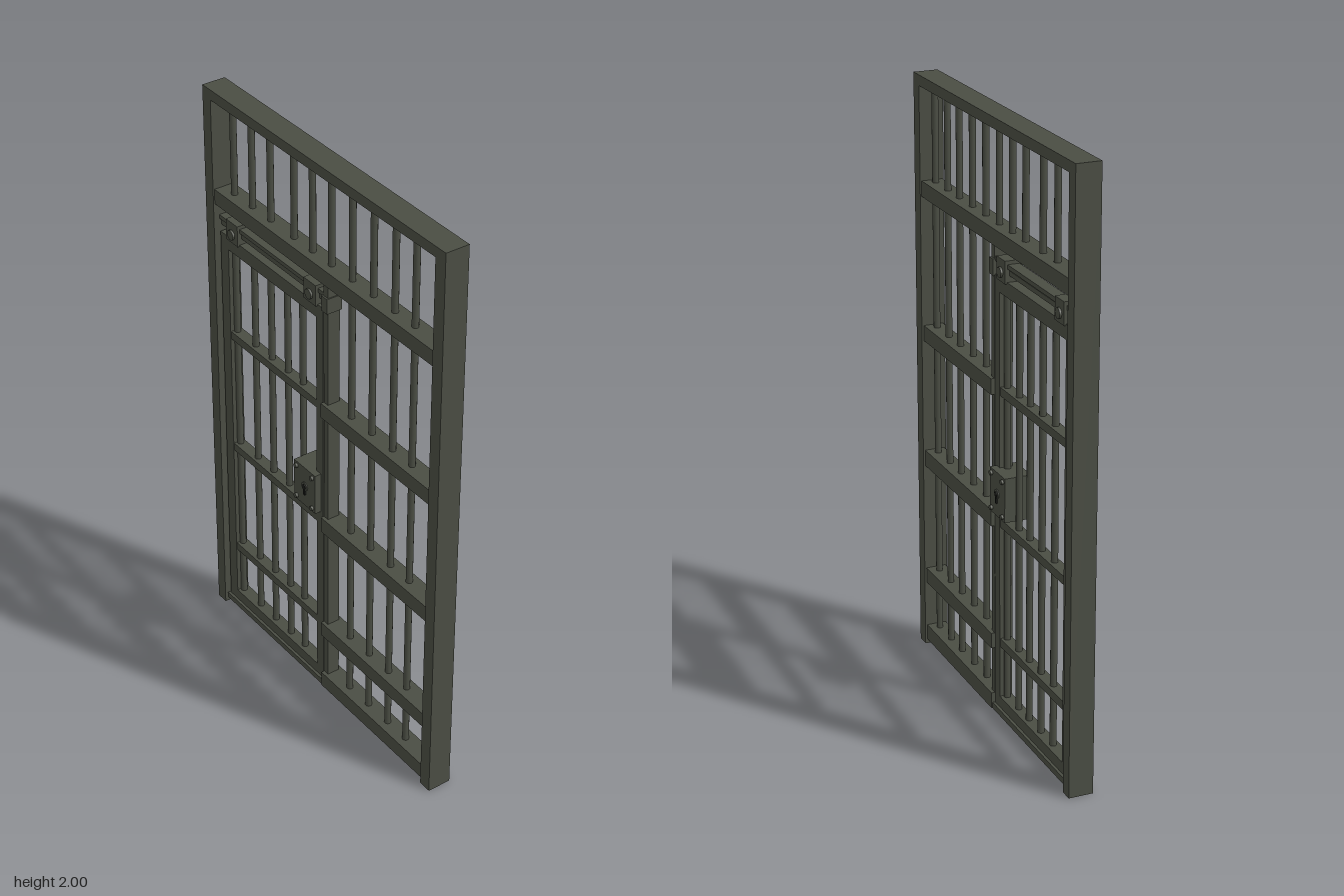
import * as THREE from 'three';

const iron = new THREE.MeshStandardMaterial({ color: 0x4a4d43 });
iron.name = 'dark iron';
const black = new THREE.MeshStandardMaterial({ color: 0x1b1c19 });
black.name = 'keyhole black';

// Box given by its x, y and z limits
function block(parent, name, x0, x1, y0, y1, z0, z1, mat = iron) {
  const mesh = new THREE.Mesh(new THREE.BoxGeometry(x1 - x0, y1 - y0, z1 - z0), mat);
  mesh.position.set((x0 + x1) / 2, (y0 + y1) / 2, (z0 + z1) / 2);
  mesh.name = name;
  parent.add(mesh);
  return mesh;
}

// Round upright bar
function bar(parent, name, x, y0, y1, r = 0.011) {
  const mesh = new THREE.Mesh(new THREE.CylinderGeometry(r, r, y1 - y0, 12), iron);
  mesh.position.set(x, (y0 + y1) / 2, 0);
  mesh.name = name;
  parent.add(mesh);
}

// Round part lying along z
function stud(parent, name, x, y, z0, z1, r, mat = iron) {
  const mesh = new THREE.Mesh(new THREE.CylinderGeometry(r, r, z1 - z0, 12), mat);
  mesh.rotation.x = Math.PI / 2;
  mesh.position.set(x, y, (z0 + z1) / 2);
  mesh.name = name;
  parent.add(mesh);
}

function group(parent, name) {
  const g = new THREE.Group();
  g.name = name;
  parent.add(g);
  return g;
}

export function createModel() {
  const model = new THREE.Group();
  model.name = 'barredGate';

  // Outer frame
  const frame = group(model, 'frame');
  block(frame, 'rightPost', -0.608, -0.565, 0, 2, -0.041, 0.041);
  block(frame, 'leftPost', 0.562, 0.608, 0, 2, -0.041, 0.041);
  block(frame, 'topBeam', -0.565, 0.562, 1.965, 2, -0.041, 0.041);
  block(frame, 'transom', -0.565, 0.562, 1.6, 1.652, -0.036, 0.036);

  // Bars above the transom
  const upper = group(model, 'upperBars');
  for (const x of [-0.505, -0.405, -0.305, -0.18, -0.083, 0.015, 0.12, 0.225, 0.33, 0.427, 0.53])
    bar(upper, 'upperBar', x, 1.65, 1.967);

  // Fixed panel beside the door
  const panel = group(model, 'fixedPanel');
  for (const [y0, y1] of [[0.015, 0.07], [0.232, 0.285], [0.662, 0.718], [1.107, 1.16]])
    block(panel, 'panelRail', 0.004, 0.562, y0, y1, -0.034, 0.034);
  block(panel, 'innerPost', 0.004, 0.026, 0.015, 1.6, -0.022, 0.022);
  for (const x of [0.12, 0.225, 0.33, 0.427, 0.53]) bar(panel, 'panelBar', x, 0.03, 1.61);

  // Sliding door
  const door = group(model, 'door');
  block(door, 'rightStile', -0.558, -0.515, 0.037, 1.5, -0.022, 0.022);
  block(door, 'leftStile', -0.036, 0, 0.037, 1.5, -0.022, 0.022);
  block(door, 'doorTopRail', -0.515, -0.036, 1.452, 1.5, -0.022, 0.022);
  block(door, 'doorBottomRail', -0.515, -0.036, 0.037, 0.075, -0.022, 0.022);
  for (const y of [0.268, 0.687, 1.13])
    block(door, 'doorCrossRail', -0.515, -0.036, y - 0.014, y + 0.014, -0.02, 0.02);
  for (const x of [-0.507, -0.402, -0.31, -0.22, -0.138, -0.046]) bar(door, 'doorBar', x, 0.06, 1.46);

  // Overhead track, hangers and floor guide
  const track = group(model, 'track');
  block(track, 'upperRunner', -0.565, 0.02, 1.542, 1.556, -0.02, 0.02);
  block(track, 'lowerRunner', -0.565, 0.02, 1.52, 1.536, -0.014, 0.014);
  block(track, 'trackStop', 0, 0.03, 1.495, 1.548, -0.028, 0.028);
  block(track, 'floorGuide', -0.565, 0.004, 0.014, 0.035, -0.03, 0.03);
  for (const x of [-0.483, -0.06]) {
    block(track, 'hanger', x - 0.032, x + 0.032, 1.495, 1.568, -0.029, 0.029);
    stud(track, 'hangerBolt', x, 1.525, -0.036, 0.036, 0.017);
  }

  // Lock box with rivets and a keyhole on both faces
  const lock = group(model, 'lock');
  block(lock, 'lockBox', -0.128, -0.012, 0.727, 0.875, -0.045, 0.045);
  for (const x of [-0.113, -0.027])
    for (const y of [0.742, 0.86]) stud(lock, 'rivet', x, y, -0.053, 0.053, 0.008);
  stud(lock, 'keyholeRing', -0.068, 0.803, -0.048, 0.048, 0.016);
  stud(lock, 'keyholeRound', -0.068, 0.803, -0.05, 0.05, 0.009, black);
  for (const s of [-1, 1])
    block(lock, 'keyholeSlot', -0.073, -0.063, 0.772, 0.803, s * 0.047 - 0.003, s * 0.047 + 0.003, black);

  return model;
}
